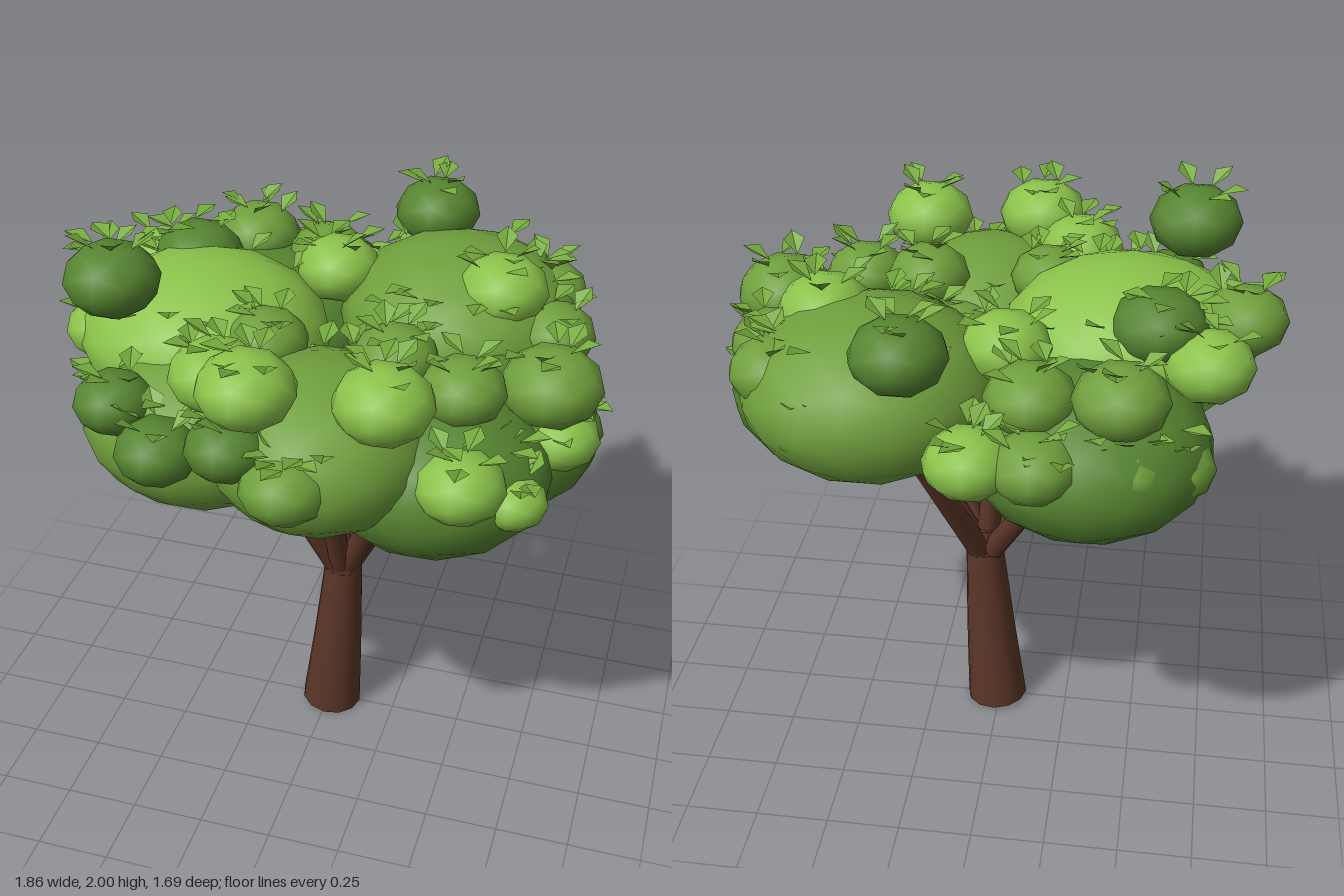
import * as THREE from 'three';
import { mergeGeometries } from 'three/addons/utils/BufferGeometryUtils.js';

function makeMaterial(name, color, side = THREE.FrontSide) {
  const m = new THREE.MeshStandardMaterial({ color, side });
  m.name = name;
  return m;
}

// Small seeded generator for leaf placement
function seeded(seed) {
  return () => (seed = (seed * 16807) % 2147483647) / 2147483647;
}

// Tube along a smooth curve, narrowing from r0 to r1, with closed ends
function taperedLimb(points, r0, r1, segments, sides) {
  const curve = new THREE.CatmullRomCurve3(points.map(p => new THREE.Vector3(...p)));
  const tube = new THREE.TubeGeometry(curve, segments, 1, sides, false);
  const pos = tube.attributes.position;
  const v = new THREE.Vector3();
  for (let i = 0; i < pos.count; i++) {
    const t = Math.floor(i / (sides + 1)) / segments;
    const c = curve.getPointAt(t);
    v.fromBufferAttribute(pos, i).sub(c).multiplyScalar(r0 + (r1 - r0) * t).add(c);
    pos.setXYZ(i, v.x, v.y, v.z);
  }
  const caps = [[0, r0, -1], [1, r1, 1]].map(([t, r, sign]) => {
    const dir = curve.getTangentAt(t).multiplyScalar(sign);
    const p = curve.getPointAt(t);
    const cap = new THREE.CircleGeometry(r, sides);
    cap.applyQuaternion(new THREE.Quaternion().setFromUnitVectors(new THREE.Vector3(0, 0, 1), dir));
    return cap.translate(p.x, p.y, p.z);
  });
  return mergeGeometries([tube, ...caps]);
}

// Folded diamond leaf, growing along +z from its stem
function leafGeometry() {
  const base = [0, 0, 0], tip = [0, 0.005, 0.1];
  const left = [-0.036, 0.016, 0.055], right = [0.036, 0.016, 0.055];
  const g = new THREE.BufferGeometry();
  g.setAttribute('position', new THREE.Float32BufferAttribute(
    [...base, ...left, ...tip, ...base, ...tip, ...right], 3));
  g.computeVertexNormals();
  return g;
}

export function createModel() {
  const tree = new THREE.Group();
  tree.name = 'tree';
  const bark = makeMaterial('bark brown', 0x5e3729);
  const greens = {
    L: makeMaterial('light green', 0x8bc34a),
    M: makeMaterial('mid green', 0x6f9f3c),
    D: makeMaterial('dark green', 0x568530),
  };
  const leafGreen = makeMaterial('leaf green', 0x75aa3d, THREE.DoubleSide);
  const add = (name, geometry, material) => {
    const mesh = new THREE.Mesh(geometry, material);
    mesh.name = name;
    tree.add(mesh);
  };

  // Leaning trunk with a narrowing crown where the branches start
  add('trunk', taperedLimb([[0.01, 0.01, 0], [0.035, 0.32, 0.008], [0.058, 0.66, 0.018]],
    0.11, 0.068, 6, 12), bark);
  add('trunkTop', taperedLimb([[0.058, 0.65, 0.018], [0.057, 0.76, 0.018]], 0.068, 0.054, 2, 12), bark);

  // Branches: end points inside the canopy, each bowed outward
  const branchEnds = [
    [0.0, 1.4, 0.0], [-0.3, 1.28, 0.05], [-0.26, 1.25, -0.26], [0.26, 1.3, -0.34],
    [0.06, 1.28, 0.28], [0.34, 1.16, 0.03], [-0.16, 1.25, 0.24], [0.28, 1.16, 0.2],
  ];
  branchEnds.forEach(([x, y, z], i) => {
    const start = [0.05 + 0.1 * x, 0.68, 0.018 + 0.1 * z];
    const middle = [0.02 + x * 0.56, 0.68 + (y - 0.68) * 0.5, 0.008 + z * 0.56];
    add('branch' + (i + 1), taperedLimb([start, middle, [x, y, z]], 0.042, 0.032, 6, 8), bark);
  });

  // Large canopy masses: centre, radii, colour
  const masses = [
    [-0.42, 1.54, 0.03, 0.42, 0.26, 0.39, 'L'],
    [-0.33, 1.38, -0.4, 0.39, 0.26, 0.4, 'D'],
    [0.36, 1.52, -0.36, 0.41, 0.27, 0.41, 'M'],
    [0.09, 1.43, 0.4, 0.36, 0.26, 0.38, 'M'],
    [0.49, 1.31, -0.02, 0.42, 0.27, 0.38, 'D'],
    [0.41, 1.31, 0.25, 0.39, 0.27, 0.37, 'D'],
    [-0.34, 1.37, 0.28, 0.4, 0.27, 0.37, 'M'],
  ];
  const ball = new THREE.IcosahedronGeometry(1, 2);
  masses.forEach(([x, y, z, rx, ry, rz, c], i) => {
    add('canopyMass' + (i + 1), ball.clone().scale(rx, ry, rz).translate(x, y, z), greens[c]);
  });

  // Small foliage puffs: centre, radius, colour
  const puffs = [
    [-0.43, 1.63, -0.56, 0.15, 'M'], [-0.16, 1.6, -0.53, 0.145, 'M'], [0, 1.47, -0.7, 0.14, 'L'],
    [0.21, 1.77, -0.63, 0.15, 'D'], [0.49, 1.5, -0.6, 0.13, 'M'], [0.63, 1.6, -0.46, 0.145, 'M'],
    [0.52, 1.7, -0.23, 0.155, 'L'], [0.7, 1.57, -0.22, 0.14, 'M'], [-0.06, 1.66, -0.32, 0.145, 'L'],
    [-0.68, 1.62, -0.29, 0.145, 'L'], [-0.52, 1.7, -0.2, 0.155, 'D'], [-0.78, 1.66, -0.04, 0.145, 'M'],
    [-0.74, 1.55, 0.11, 0.135, 'L'], [-0.61, 1.84, 0.31, 0.155, 'D'], [-0.54, 1.53, 0.52, 0.13, 'D'],
    [-0.36, 1.45, 0.63, 0.135, 'D'], [-0.22, 1.65, 0.47, 0.15, 'L'], [-0.07, 1.71, 0.62, 0.155, 'L'],
    [0.07, 1.45, 0.71, 0.14, 'M'], [-0.14, 1.65, 0.22, 0.135, 'M'], [0.27, 1.64, 0.2, 0.14, 'M'],
    [0.33, 1.7, 0.57, 0.155, 'L'], [0.55, 1.41, 0.5, 0.145, 'L'], [0.5, 1.6, 0.27, 0.14, 'M'],
    [0.75, 1.58, 0.13, 0.165, 'M'], [0.7, 1.33, 0.42, 0.11, 'L'], [0.79, 1.4, 0.13, 0.13, 'L'],
    [0.8, 1.34, -0.02, 0.115, 'D'], [-0.19, 1.47, -0.7, 0.14, 'M'], [-0.59, 1.38, -0.5, 0.135, 'M'],
    [-0.12, 1.53, 0.67, 0.13, 'D'], [-0.45, 1.43, -0.62, 0.135, 'M'], [0.15, 1.5, 0.08, 0.13, 'M'],
  ];
  const leaf = leafGeometry();
  const random = seeded(41);
  const placer = new THREE.Object3D();
  placer.rotation.order = 'YXZ';
  const placeLeaf = (x, y, z, yaw, lift) => {
    placer.position.set(x, y, z);
    placer.rotation.set(-lift, yaw, 0);
    placer.updateMatrix();
    return leaf.clone().applyMatrix4(placer.matrix);
  };
  const puffBall = new THREE.IcosahedronGeometry(1, 1);
  puffs.forEach(([x, y, z, r, c], i) => {
    const ry = r * 0.77;
    add('puff' + (i + 1), puffBall.clone().scale(r, ry, r).translate(x, y, z), greens[c]);
    // Ring of leaves near the top of the puff
    const leaves = [];
    for (let k = 0; k < 6; k++) {
      const around = (k + random() * 0.7) * Math.PI / 3;
      const polar = 0.2 + random() * 0.4;
      const reach = r * Math.sin(polar);
      leaves.push(placeLeaf(x + reach * Math.sin(around), y + ry * Math.cos(polar) - 0.005,
        z + reach * Math.cos(around), around + (random() - 0.5) * 2.4, 0.1 + random() * 0.5));
    }
    add('puffLeaves' + (i + 1), mergeGeometries(leaves), leafGreen);
  });

  // Loose leaves resting on the upper sides of the large masses
  const loose = [];
  masses.forEach(([x, y, z, rx, ry, rz]) => {
    for (let k = 0; k < 14; k++) {
      const around = random() * Math.PI * 2;
      const polar = 0.65 + random() * 0.45;
      const reach = Math.sin(polar);
      loose.push(placeLeaf(x + rx * reach * Math.sin(around), y + ry * Math.cos(polar),
        z + rz * reach * Math.cos(around), around + random() - 0.5, random() * 0.4));
    }
  });
  add('looseLeaves', mergeGeometries(loose), leafGreen);

  return tree;
}
